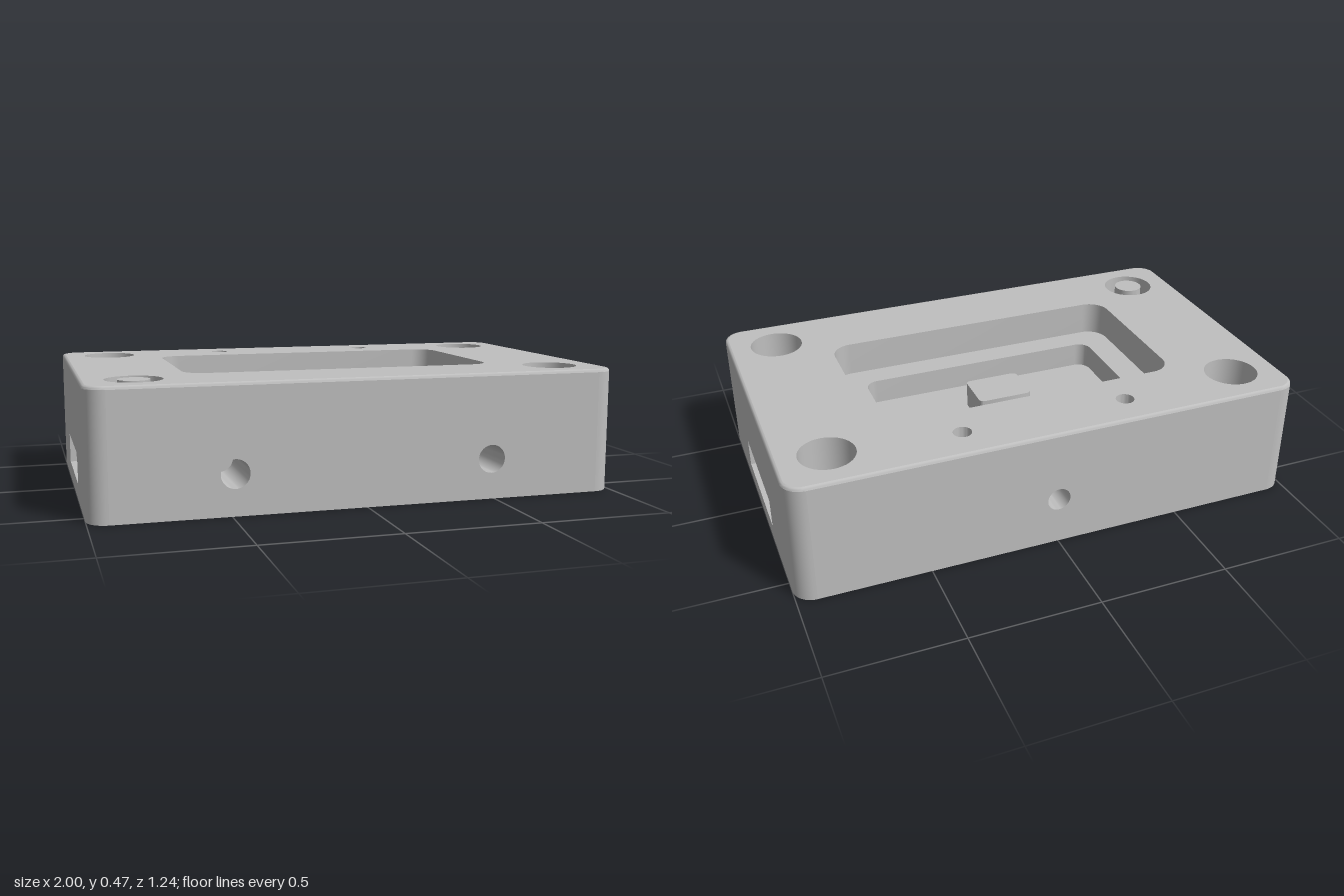
import * as THREE from 'three';
import { toCreasedNormals } from 'three/addons/utils/BufferGeometryUtils.js';

const W = 1, D = 0.622, H = 0.475, R = 0.075, EDGE = 0.012;
const LEDGE = 0.34, FLOOR = 0.24, SEAT = 0.25;

// Outlines are counter-clockwise Vector2 lists; on level faces (x, y) means (x, -z).
function circle(cx, cy, r, n = 40) {
  return Array.from({ length: n }, (_, i) => {
    const a = (i / n) * Math.PI * 2;
    return new THREE.Vector2(cx + r * Math.cos(a), cy + r * Math.sin(a));
  });
}

function roundedRect(hw, hd, r, n = 10) {
  const pts = [];
  [[1, 1], [-1, 1], [-1, -1], [1, -1]].forEach(([sx, sy], k) => {
    for (let j = 0; j <= n; j++) {
      const a = (k + j / n) * Math.PI / 2;
      pts.push(new THREE.Vector2(sx * (hw - r) + r * Math.cos(a), sy * (hd - r) + r * Math.sin(a)));
    }
  });
  return pts;
}

function rect(hw, hh, cy = 0) {
  return [[-1, -1], [1, -1], [1, 1], [-1, 1]].map(([x, y]) => new THREE.Vector2(x * hw, cy + y * hh));
}

// Flat face in the XY plane with holes, facing +z
function face(outline, holes = []) {
  const s = new THREE.Shape(outline);
  holes.forEach((h) => s.holes.push(new THREE.Path(h)));
  return new THREE.ShapeGeometry(s);
}
const level = (outline, y, holes) => face(outline, holes).rotateX(-Math.PI / 2).translate(0, y, 0);

// Walls joining outlines at rising heights; inward flips them for recesses
function walls(rings, inward = false, closed = true) {
  const pos = [];
  const put = (ring, i) => {
    const p = ring.pts[i % ring.pts.length];
    pos.push(p.x, ring.y, -p.y);
  };
  for (let k = 0; k + 1 < rings.length; k++) {
    const lo = rings[k], hi = rings[k + 1];
    const n = lo.pts.length - (closed ? 0 : 1);
    for (let i = 0; i < n; i++) {
      const [a, b] = inward ? [i + 1, i] : [i, i + 1];
      put(lo, a); put(lo, b); put(hi, b);
      put(lo, a); put(hi, b); put(hi, a);
    }
  }
  const g = new THREE.BufferGeometry();
  g.setAttribute('position', new THREE.Float32BufferAttribute(pos, 3));
  g.computeVertexNormals();
  return toCreasedNormals(g, 0.6);
}

export function createModel() {
  const model = new THREE.Group();
  const metal = new THREE.MeshStandardMaterial({ color: 0xbfbfbf });
  metal.name = 'light grey metal';

  const add = (name, geometry, parent = model) => {
    const m = new THREE.Mesh(geometry, metal);
    m.name = name;
    parent.add(m);
    return m;
  };
  // Recess opening at y = 0 of its group, closed at the bottom
  const recess = (name, outline, depth, holes) => {
    const g = new THREE.Group();
    g.name = name;
    add(name + 'Wall', walls([{ pts: outline, y: -depth }, { pts: outline, y: 0 }], true), g);
    add(name + 'Floor', level(outline, -depth, holes), g);
    model.add(g);
    return g;
  };

  const body = roundedRect(W, D, R);
  const pocket = roundedRect(0.61, 0.33, 0.08);
  const well = roundedRect(0.5, 0.228, 0.05);
  const block = roundedRect(0.11, 0.088, 0.02);
  const corners = [[-0.81, -0.44], [0.81, -0.44], [-0.81, 0.44], [0.81, 0.44]];
  const isPinned = (x, z) => x < 0 && z > 0;
  const pinHoles = [-0.325, 0.325].map((x) => circle(x, 0.48, 0.035));
  const wellHoles = [-0.375, 0.375].map((x) => circle(x, 0, 0.041));

  // Top and bottom faces
  add('topFace', level(roundedRect(W - EDGE, D - EDGE, R - EDGE), H,
    [pocket, ...pinHoles, ...corners.map(([x, z]) => circle(x, -z, 0.104))]));
  add('bottomFace', face(body, corners.filter(([x, z]) => !isPinned(x, z))
    .map(([x, z]) => circle(x, z, 0.058))).rotateX(Math.PI / 2));

  // Rounded top edge
  add('topEdge', walls([0, 1, 2, 3].map((k) => {
    const a = (k / 3) * Math.PI / 2, inset = EDGE * (1 - Math.cos(a));
    return { pts: roundedRect(W - inset, D - inset, R - inset), y: H - EDGE + EDGE * Math.sin(a) };
  })));

  // Rounded vertical corners
  for (let k = 0; k < 4; k++) {
    const arc = body.slice(k * 11, k * 11 + 11);
    add('roundedCorner', walls([{ pts: arc, y: 0 }, { pts: arc, y: H - EDGE }], false, false));
  }

  // Flat sides with their openings
  const sideH = (H - EDGE) / 2;
  const long = rect(W - R, sideH, sideH), short = rect(D - R, sideH, sideH);
  const slot = rect(0.225, 0.0575, 0.121);
  add('frontFace', face(long, [-0.487, 0.487].map((x) => circle(x, 0.152, 0.053)))).position.z = D;
  const back = add('backFace', face(long, [circle(0, 0.19, 0.045)]));
  back.position.z = -D;
  back.rotation.y = Math.PI;
  for (const s of [-1, 1]) {
    const side = add('sideFace', face(short, [slot]));
    side.position.x = s * W;
    side.rotation.y = s * Math.PI / 2;

    const label = recess('sideSlot', rect(0.0575, 0.225), 0.025);
    label.rotation.z = -s * Math.PI / 2;
    label.position.set(s * W, 0.121, 0);

    const port = recess('frontPort', circle(0, 0, 0.053), 0.3);
    port.rotation.x = Math.PI / 2;
    port.position.set(s * 0.487, 0.152, D);
  }
  const backPort = recess('backPort', circle(0, 0, 0.045), 0.25);
  backPort.rotation.x = -Math.PI / 2;
  backPort.position.set(0, 0.19, -D);

  // Stepped central pocket with a raised block
  recess('pocket', pocket, H - LEDGE, [well]).position.y = H;
  recess('well', well, LEDGE - FLOOR, [block, ...wellHoles]).position.y = LEDGE;
  add('blockSides', walls([{ pts: block, y: FLOOR }, { pts: block, y: LEDGE }]));
  add('blockTop', level(block, LEDGE));
  wellHoles.forEach((h) => { recess('wellHole', h, 0.1).position.y = FLOOR; });
  pinHoles.forEach((h) => { recess('pinHole', h, 0.15).position.y = H; });

  // Counterbored corner holes, one of them filled by a pin
  for (const [x, z] of corners) {
    const bore = circle(x, -z, 0.058);
    recess('counterbore', circle(x, -z, 0.104), H - SEAT, [bore]).position.y = H;
    if (isPinned(x, z)) {
      add('pinSide', walls([{ pts: bore, y: SEAT }, { pts: bore, y: H }]));
      add('pinTop', level(bore, H));
    } else {
      add('throughHole', walls([{ pts: bore, y: 0 }, { pts: bore, y: SEAT }], true));
    }
  }
  return model;
}
